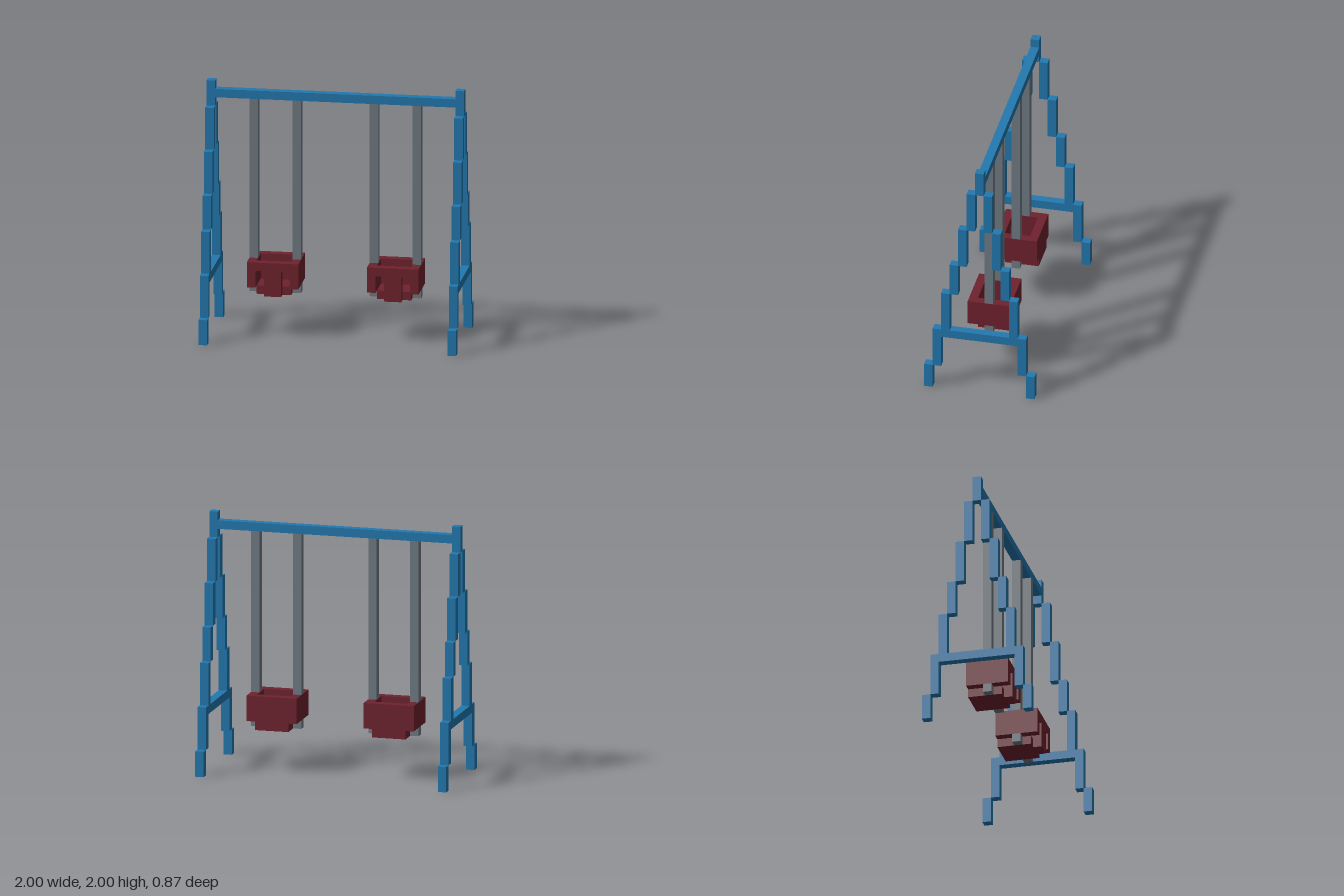
import * as THREE from 'three';

const U = 1 / 15; // one block

export function createModel() {
  const mat = (name, color) => {
    const m = new THREE.MeshStandardMaterial({ color });
    m.name = name;
    return m;
  };
  const blue = mat('blue paint', 0x2279b0);
  const red = mat('dark red plastic', 0x70222e);
  const grey = mat('grey chain', 0x707b83);

  // Box between two corners, given in blocks
  const box = (parent, name, material, [x0, y0, z0], [x1, y1, z1]) => {
    const g = new THREE.BoxGeometry((x1 - x0) * U, (y1 - y0) * U, (z1 - z0) * U);
    const mesh = new THREE.Mesh(g, material);
    mesh.position.set((x0 + x1) * U / 2, (y0 + y1) * U / 2, (z0 + z1) * U / 2);
    mesh.name = name;
    parent.add(mesh);
  };
  const group = (parent, name, x) => {
    const g = new THREE.Group();
    g.name = name;
    g.position.x = x * U;
    parent.add(g);
    return g;
  };

  const model = new THREE.Group();
  model.name = 'swingSet';
  box(model, 'topBeam', blue, [-14, 28, -0.5], [14, 29, 0.5]);

  // Stepped A-frames: heights where each leg segment ends, from top to ground
  const steps = [27, 22, 17, 13, 8, 3, 0];
  for (const side of [-1, 1]) {
    const frame = group(model, side > 0 ? 'leftFrame' : 'rightFrame', side * 14.5);
    box(frame, 'peakPost', blue, [-0.5, 27, -0.5], [0.5, 30, 0.5]);
    for (let i = 1; i < steps.length; i++) {
      box(frame, 'frontLeg', blue, [-0.5, steps[i], i - 0.5], [0.5, steps[i - 1], i + 0.5]);
      box(frame, 'backLeg', blue, [-0.5, steps[i], -i - 0.5], [0.5, steps[i - 1], -i + 0.5]);
    }
    box(frame, 'crossBar', blue, [-0.5, 7, -4.5], [0.5, 8, 4.5]);
  }

  // Bucket swings
  for (const side of [-1, 1]) {
    const swing = group(model, side > 0 ? 'leftSwing' : 'rightSwing', side * 7);
    box(swing, 'seatFloor', red, [-2, 5, -1.5], [2, 6, 1.5]);
    box(swing, 'backPanel', red, [-2, 5, -2.5], [2, 9, -1.5]);
    // Front panel leaves two leg openings
    box(swing, 'frontRail', red, [-2, 8, 1.5], [2, 9, 2.5]);
    box(swing, 'frontPost', red, [-1, 5, 1.5], [1, 8, 2.5]);
    for (const s of [-1, 1]) {
      const end = group(swing, 'swingEnd', s * 2.5);
      box(end, 'seatSide', red, [-0.5, 6, -2.5], [0.5, 9, 2.5]);
      box(end, 'chain', grey, [-0.5, 9, -0.5], [0.5, 28, 0.5]);
      box(end, 'chainEnd', grey, [-0.5, 5, -0.5], [0.5, 6, 0.5]);
    }
  }
  return model;
}
